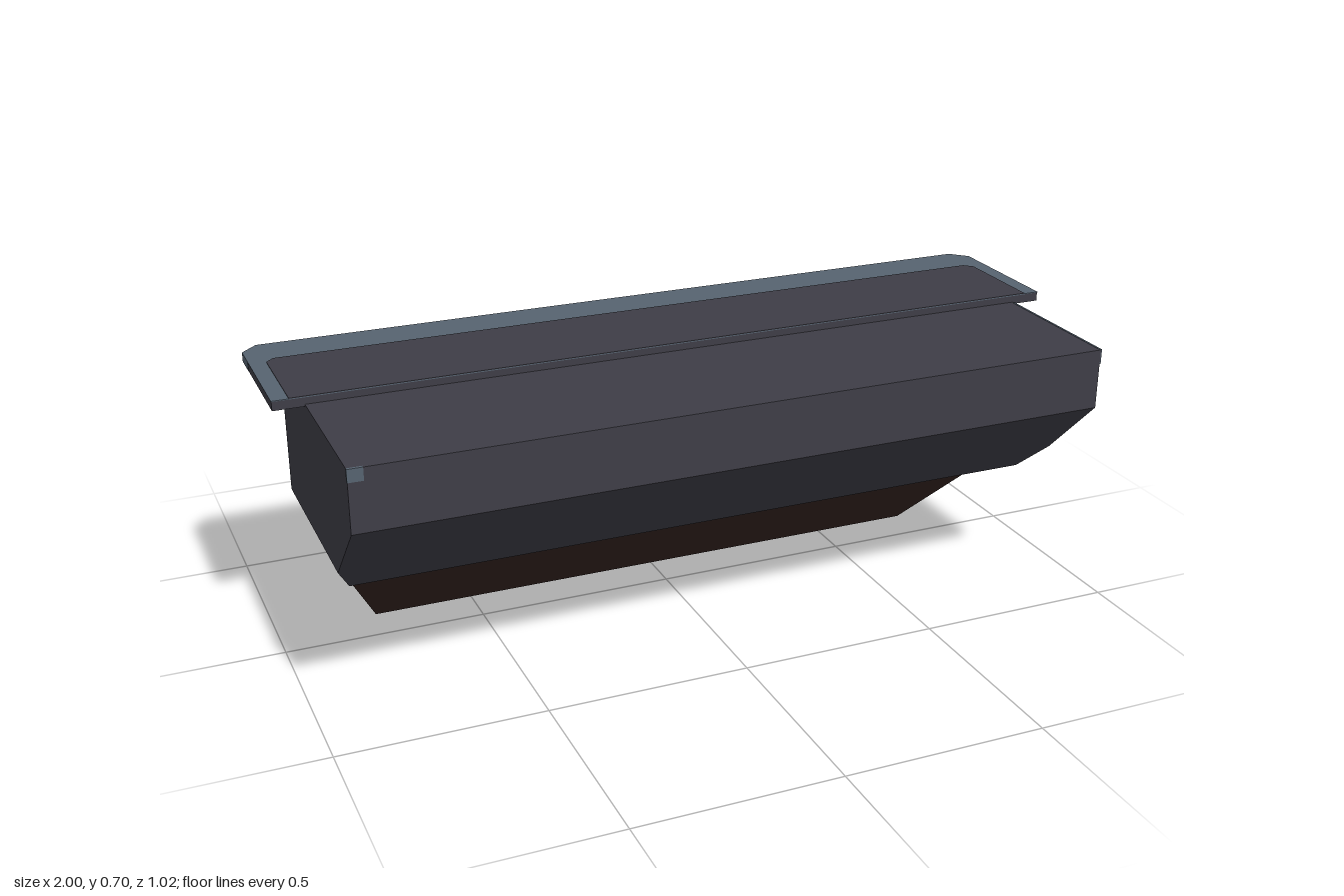
import * as THREE from 'three';
import { ConvexGeometry } from 'three/addons/geometries/ConvexGeometry.js';

const paint = (name, color) => {
  const m = new THREE.MeshStandardMaterial({ color });
  m.name = name;
  return m;
};

export function createModel() {
  const model = new THREE.Group();
  const grey = paint('charcoal', 0x3e3d46);
  const steel = paint('steel blue', 0x566370);
  const brown = paint('dark brown', 0x33231f);
  const crimson = paint('crimson', 0x661f34);
  const orange = paint('burnt orange', 0xb9432b);
  const rust = paint('rust red', 0x7a2f28);
  orange.side = crimson.side = THREE.DoubleSide;

  const add = (name, geometry, material) => {
    const mesh = new THREE.Mesh(geometry, material);
    mesh.name = name;
    model.add(mesh);
    return mesh;
  };
  // Box given by its limits on each axis
  const box = (name, mat, [x0, x1], [y0, y1], [z0, z1]) => {
    const mesh = add(name, new THREE.BoxGeometry(x1 - x0, y1 - y0, z1 - z0), mat);
    mesh.position.set((x0 + x1) / 2, (y0 + y1) / 2, (z0 + z1) / 2);
    return mesh;
  };
  // Convex solid mirrored across x
  const solid = (name, mat, pts) => add(name, new ConvexGeometry(
    pts.flatMap(([x, y, z]) => [new THREE.Vector3(x, y, z), new THREE.Vector3(-x, y, z)])), mat);
  // Flat faces, each a fan of corners
  const faces = (name, mat, polys) => {
    const pos = [];
    for (const p of polys)
      for (let i = 1; i < p.length - 1; i++) pos.push(...p[0], ...p[i], ...p[i + 1]);
    const g = new THREE.BufferGeometry();
    g.setAttribute('position', new THREE.Float32BufferAttribute(pos, 3));
    g.computeVertexNormals();
    return add(name, g, mat);
  };

  // Housing with sloped front and narrowed bottom edge
  solid('housing', grey, [
    [0.925, 0.68, 0.51], [0.925, 0.53, 0.51], [0.925, 0.36, 0.337], [0.885, 0.28, 0.255],
    [0.925, 0.68, -0.145], [0.925, 0.36, -0.145], [0.885, 0.28, -0.145],
  ]);

  // Top flange with clipped rear corners, and its darker inlay
  const flat = (name, mat, shape, depth, y) => {
    const g = new THREE.ExtrudeGeometry(shape, { depth, bevelEnabled: false, curveSegments: 4 });
    g.rotateX(-Math.PI / 2);
    add(name, g, mat).position.y = y;
  };
  const outline = (pts) => new THREE.Shape(pts.map(([x, z]) => new THREE.Vector2(x, -z)));
  const clipped = (w, c, front, back) => outline([
    [-w, front], [w, front], [w, back + c], [w - c, back], [c - w, back], [-w, back + c]]);
  flat('flange', grey, clipped(0.999, 0.04, 0.119, -0.259), 0.023, 0.675);
  flat('flangeRim', steel, clipped(1, 0.04, 0.12, -0.26), 0.002, 0.697);
  flat('flangeInlay', grey, clipped(0.96, 0.02, 0.12, -0.15), 0.002, 0.6985);
  for (const s of [-1, 1]) // painted flange ends at the rear corners
    box('flangeEnd', steel, s > 0 ? [0.994, 1] : [-1, -0.994], [0.676, 0.698], [-0.22, -0.15]);

  // Worn edge strips
  box('sideEdgeStrip', steel, [0.923, 0.928], [0.643, 0.681], [0.125, 0.51]);
  box('frontCornerPatch', steel, [-0.926, -0.89], [0.65, 0.681], [0.505, 0.512]);
  for (const s of [-1, 1]) {
    const strip = [[0.925, 0.675], [0.89, 0.675], [0.89, 0.36], [0.86, 0.283], [0.885, 0.283], [0.925, 0.36]]
      .map(([x, y]) => [s * x, y, -0.148]);
    faces('rearEdgeStrip', steel, [s > 0 ? strip.slice(0, 1).concat(strip.slice(1).reverse()).reverse() : strip.slice().reverse()]);
  }
  box('sideMark', rust, [0.923, 0.928], [0.385, 0.45], [-0.087, -0.068]);

  // Lower chute: front slab, end panels and folded rear panel
  solid('chuteFront', brown, [
    [0.885, 0.28, 0.165], [0.885, 0.28, 0.11], [0.75, 0, -0.105], [0.75, 0, -0.14]]);
  for (const s of [-1, 1]) {
    const top = [s * 0.885, 0.28, -0.12], low = [s * 0.75, 0, -0.165];
    const end = [[s * 0.885, 0.28, 0.11], [s * 0.75, 0, -0.14], low, top];
    faces('chuteEnd', crimson, [s > 0 ? end : end.reverse()]);
  }
  const L = [0.885, 0.28, -0.12], R = [-0.885, 0.28, -0.12], C = [0, 0, -0.255];
  const l = [0.75, 0, -0.165], r = [-0.75, 0, -0.165];
  faces('chuteRear', orange, [[L, C, R], [L, l, C], [R, C, r]]);
  faces('chuteFloor', orange, [[[-0.75, 0, -0.14], r, C, l, [0.75, 0, -0.14]]]);

  // Depth of the rear panel, used to lay parts onto it
  const rearZ = (x, y) => Math.max(
    -0.12 - 0.135 * (0.28 - y) / 0.28, -0.255 + 0.12 * Math.abs(x) + 0.103 * y);
  const onRear = (name, mat, x0, x1, y0, y1, depth) => {
    const g = new THREE.BoxGeometry(x1 - x0, y1 - y0, depth, 4, 6, 1).toNonIndexed();
    g.translate((x0 + x1) / 2, (y0 + y1) / 2, -depth / 2);
    const p = g.attributes.position;
    for (let i = 0; i < p.count; i++) p.setZ(i, p.getZ(i) + rearZ(p.getX(i), p.getY(i)));
    g.computeVertexNormals();
    add(name, g, mat);
  };
  for (const s of [-1, 1]) {
    const span = (a, b) => (s > 0 ? [a, b] : [-b, -a]);
    onRear('fingerBacking', crimson, ...span(0.32, 0.81), 0.15, 0.28, 0.005);
    for (const x of [0.38, 0.5, 0.62, 0.74])
      onRear('finger', grey, ...span(x - 0.03, x + 0.03), 0.11, 0.28, 0.02);
    box('stepTab', orange, span(0.57, 0.73), [0.075, 0.09], [-0.25, -0.15]);
    box('stepTabEnd', crimson, span(0.728, 0.733), [0.074, 0.091], [-0.25, -0.15]);
  }

  // Rear mount and motor block
  box('mountPlate', grey, [-0.16, 0.16], [0.3, 0.51], [-0.22, -0.14]);
  box('mountNeck', grey, [-0.07, 0.07], [0.32, 0.495], [-0.36, -0.22]);
  box('motorBlock', grey, [-0.118, 0.118], [0.275, 0.54], [-0.51, -0.355]);

  // Hose to the connector on the housing
  const path = new THREE.CatmullRomCurve3([
    [0.06, 0.2, -0.275], [-0.08, 0.205, -0.275], [-0.2, 0.255, -0.262], [-0.26, 0.32, -0.232], [-0.31, 0.395, -0.2],
  ].map((p) => new THREE.Vector3(...p)));
  add('hose', new THREE.TubeGeometry(path, 14, 0.012, 6), grey);
  box('hoseConnector', rust, [-0.34, -0.285], [0.37, 0.43], [-0.215, -0.145]);
  const port = add('port', new THREE.CylinderGeometry(0.025, 0.025, 0.008, 8), steel);
  port.rotation.x = Math.PI / 2;
  port.position.set(-0.38, 0.38, -0.148);

  return model;
}
